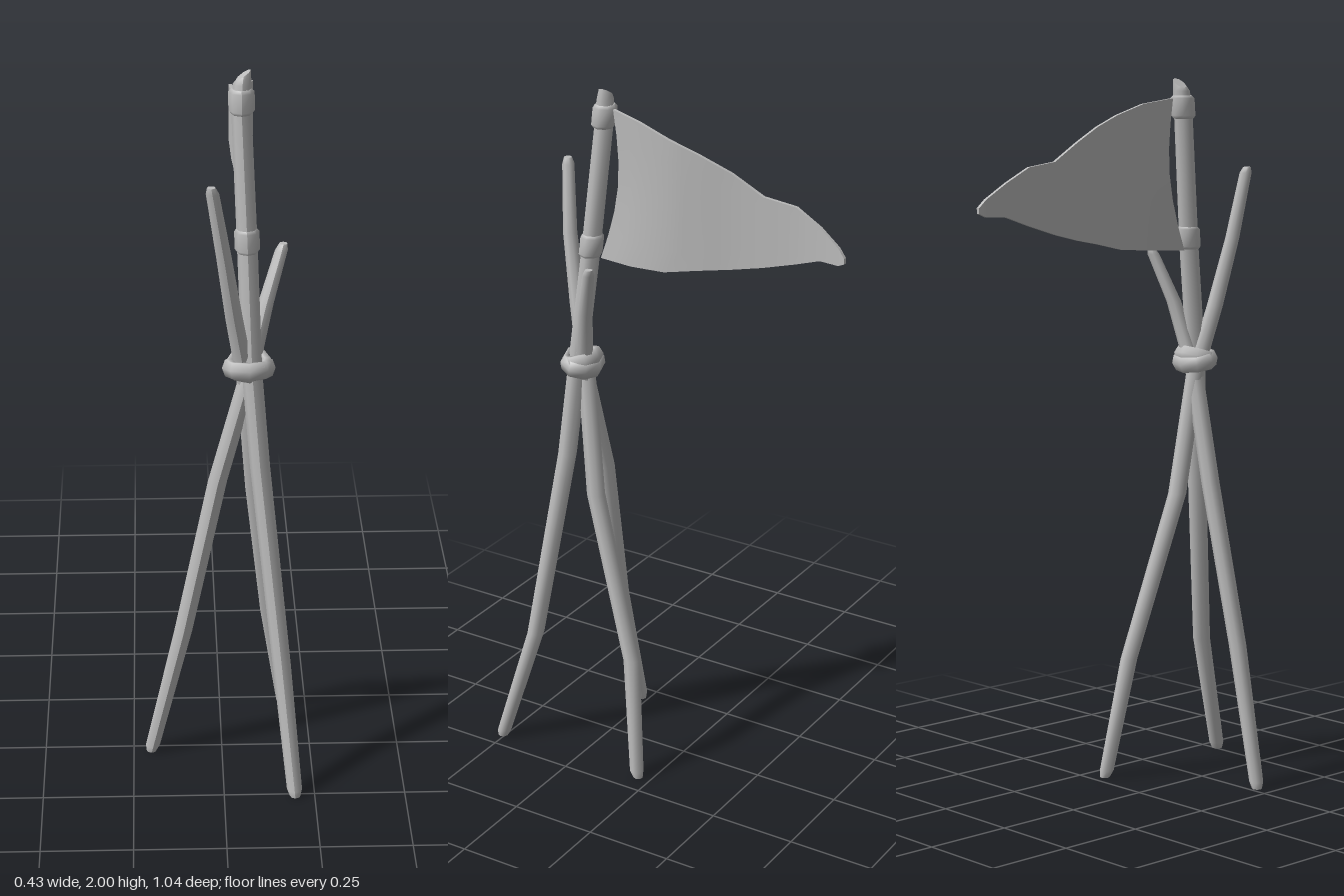
import * as THREE from 'three';

const grey = new THREE.MeshStandardMaterial({ color: 0xbcbcbc });
grey.name = 'grey';

// Bent pole through rings of [x, y, z, radius], lowest ring first
function pole(name, rings, sides = 8, slant = 0) {
  const n = rings.length - 1;
  const g = new THREE.CylinderGeometry(1, 1, 1, sides, n);
  const p = g.attributes.position;
  for (let i = 0; i < p.count; i++) {
    const k = Math.round((p.getY(i) + 0.5) * n);
    const [x, y, z, r] = rings[k];
    const lx = p.getX(i) * r, lz = p.getZ(i) * r;
    p.setXYZ(i, x + lx, y + (k === n ? slant * lx : 0), z + lz);
  }
  g.computeVertexNormals();
  const mesh = new THREE.Mesh(g, grey);
  mesh.name = name;
  return mesh;
}

// Linear lookup in a list of [key, value, value...] rows
function sample(rows, t) {
  const f = t * (rows.length - 1);
  const i = Math.min(Math.floor(f), rows.length - 2);
  return rows[i].map((a, j) => a + (rows[i + 1][j] - a) * (f - i));
}

// Pennant: a thin box bent along its length
function pennant() {
  // z, upper edge, lower edge, sideways wave
  const cols = [
    [0.2, 1.945, 1.52, 0.058], [0.1, 1.93, 1.523, 0.078], [0.0, 1.9, 1.53, 0.084],
    [-0.09, 1.87, 1.55, 0.072], [-0.18, 1.83, 1.565, 0.054], [-0.27, 1.78, 1.585, 0.045],
    [-0.365, 1.768, 1.612, 0.04], [-0.44, 1.728, 1.638, 0.046], [-0.5, 1.687, 1.64, 0.057],
    [-0.52, 1.665, 1.65, 0.063],
  ];
  const g = new THREE.BoxGeometry(1, 1, 1, (cols.length - 1) * 2, 6, 1);
  const p = g.attributes.position;
  for (let i = 0; i < p.count; i++) {
    const u = p.getX(i) + 0.5, v = p.getY(i) + 0.5;
    const [z, top, bottom, x] = sample(cols, u);
    // Sagging edge between the two ties
    const inner = Math.max(0, 1 - u * 3);
    const shift = inner * (0.025 - 0.045 * v - 0.035 * Math.sin(Math.PI * v));
    p.setXYZ(i, x + p.getZ(i) * 0.01, bottom + (top - bottom) * v, z + shift);
  }
  g.computeVertexNormals();
  const mesh = new THREE.Mesh(g, grey);
  mesh.name = 'pennant';
  return mesh;
}

// One loop of the lashing round the crossing
function lashing(name, tiltX, tiltZ, y, radius) {
  const g = new THREE.TorusGeometry(radius, 0.015, 6, 8);
  g.rotateX(Math.PI / 2);
  g.scale(1.06, 1.7, 0.9);
  g.rotateX(tiltX);
  g.rotateZ(tiltZ);
  const mesh = new THREE.Mesh(g, grey);
  mesh.position.set(0.07, y, 0.285);
  mesh.name = name;
  return mesh;
}

export function createModel() {
  const model = new THREE.Group();
  model.name = 'pennantTripod';

  // Tall pole carrying the pennant
  model.add(pole('flagPole', [
    [0.196, 0, 0.508, 0.015], [0.194, 0.02, 0.503, 0.021], [0.16, 0.36, 0.405, 0.025],
    [0.1, 0.93, 0.322, 0.027], [0.078, 1.2, 0.297, 0.027], [0.066, 1.53, 0.256, 0.027],
    [0.05, 1.9, 0.217, 0.026], [0.052, 1.965, 0.211, 0.024], [0.055, 1.987, 0.207, 0.019],
  ], 8, 0.7));

  // Pole leaning from back left to front right
  model.add(pole('backPole', [
    [0.187, 0, 0.04, 0.014], [0.185, 0.02, 0.046, 0.02], [0.138, 0.35, 0.09, 0.024],
    [0.09, 0.82, 0.235, 0.026], [0.062, 1.17, 0.278, 0.025], [0.03, 1.36, 0.325, 0.023],
    [0.002, 1.55, 0.365, 0.02], [-0.028, 1.735, 0.387, 0.017], [-0.031, 1.752, 0.39, 0.011],
  ]));

  // Pole leaning from right to left
  model.add(pole('sidePole', [
    [-0.2, 0, 0.272, 0.014], [-0.196, 0.02, 0.273, 0.02], [-0.108, 0.4, 0.284, 0.025],
    [-0.012, 0.86, 0.268, 0.026], [0.07, 1.18, 0.28, 0.025], [0.115, 1.37, 0.245, 0.021],
    [0.157, 1.505, 0.204, 0.017], [0.162, 1.522, 0.2, 0.011],
  ]));

  // Ties holding the pennant
  model.add(pole('upperTie', [
    [0.051, 1.888, 0.219, 0.027], [0.051, 1.897, 0.218, 0.034],
    [0.05, 1.945, 0.213, 0.034], [0.05, 1.953, 0.212, 0.026],
  ]));
  model.add(pole('lowerTie', [
    [0.066, 1.522, 0.257, 0.027], [0.066, 1.53, 0.256, 0.033],
    [0.064, 1.578, 0.251, 0.033], [0.064, 1.586, 0.25, 0.026],
  ]));

  // Lashing at the crossing
  model.add(lashing('lowerLashing', -0.22, 0, 1.203, 0.052));
  model.add(lashing('upperLashing', 0.3, 0.03, 1.212, 0.047));

  model.add(pennant());
  return model;
}
